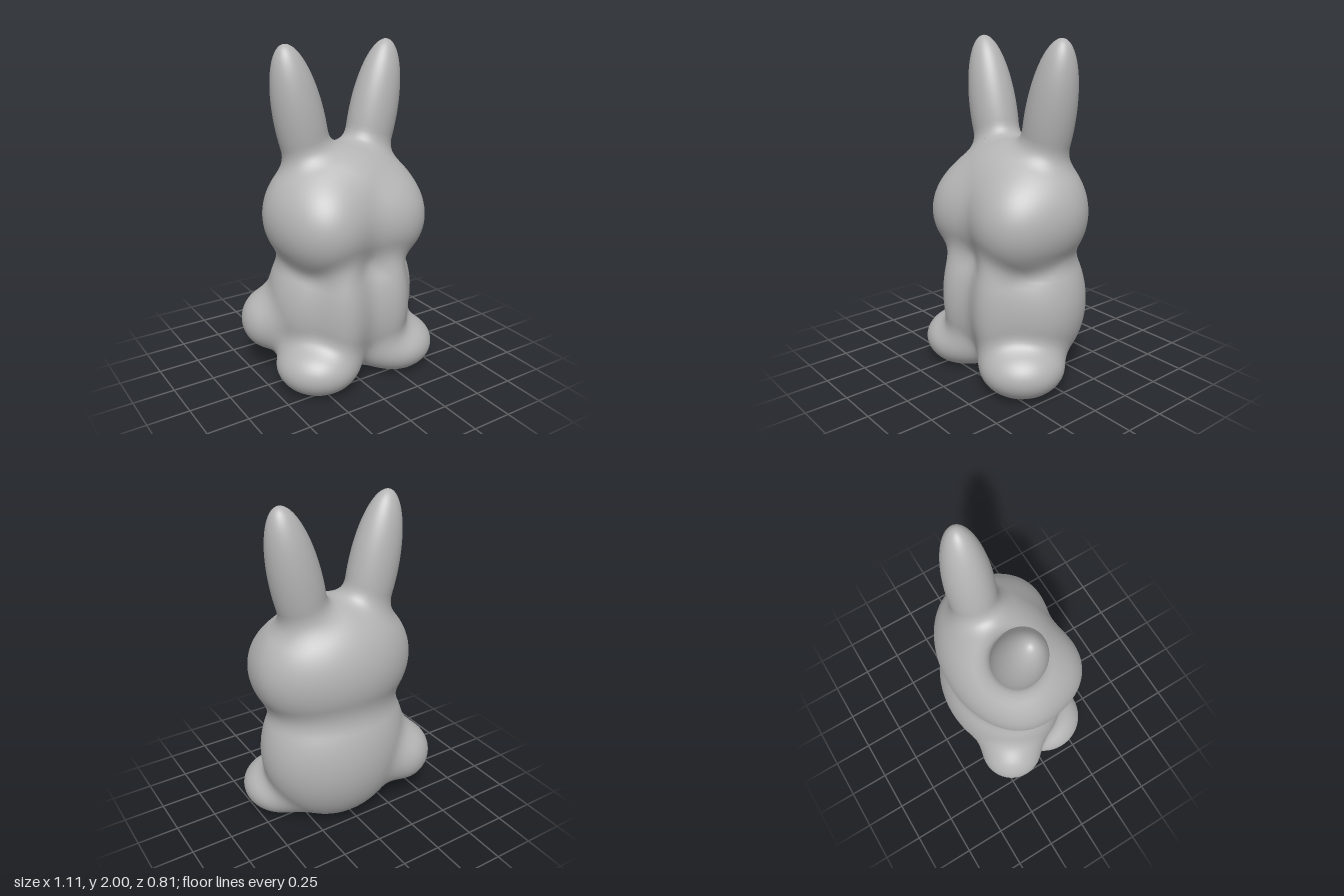
import * as THREE from 'three';

const MIDDLE = 0.033; // the figure's own mirror line
const BLEND = 0.09; // width of the soft fillets between parts
const Z_AXIS = new THREE.Vector3(0, 0, 1);

// Each part is an ellipsoid: name, centre, radii, sideways lean
const parts = [];
const add = (name, centre, radii, lean = 0) =>
  parts.push({ name, centre: new THREE.Vector3(...centre), radii: new THREE.Vector3(...radii), lean });
const pair = (name, [x, y, z], radii, lean = 0) => {
  add('left' + name, [MIDDLE + x, y, z], radii, -lean);
  add('right' + name, [MIDDLE - x, y, z], radii, lean);
};

add('body', [MIDDLE, 0.48, -0.03], [0.47, 0.5, 0.373]);
add('head', [MIDDLE, 1.03, -0.02], [0.493, 0.405, 0.357]);
pair('Cheek', [0.2, 0.99, 0.13], [0.25, 0.27, 0.25]);
pair('Ear', [0.245, 1.55, -0.058], [0.148, 0.459, 0.137], 0.22);
pair('Foreleg', [0.155, 0.49, 0.225], [0.125, 0.37, 0.15]);
pair('Foot', [0.272, 0.15, 0.153], [0.248, 0.17, 0.25]);
add('tail', [-0.36, 0.345, -0.178], [0.195, 0.195, 0.195]);

// Approximate signed distance to one ellipsoid
const q = new THREE.Vector3();
function distance(p, { centre, radii, lean }) {
  q.copy(p).sub(centre).applyAxisAngle(Z_AXIS, -lean).divide(radii);
  const k = q.length();
  return (k * (k - 1)) / Math.max(q.divide(radii).length(), 1e-6);
}

// Soft union of all parts
function field(p) {
  let d = 10;
  for (const part of parts) {
    const e = distance(p, part);
    const h = Math.max(BLEND - Math.abs(d - e), 0) / BLEND;
    d = Math.min(d, e) - h * h * BLEND * 0.25;
  }
  return d;
}

const probe = new THREE.Vector3();
function gradient(p, target) {
  const e = 0.002;
  for (const axis of ['x', 'y', 'z']) {
    probe.copy(p)[axis] += e;
    const ahead = field(probe);
    probe[axis] -= 2 * e;
    target[axis] = (ahead - field(probe)) / (2 * e);
  }
  return target;
}

// A sphere shaped to its part, then eased onto the soft union where it lies near it
function softGeometry(part) {
  const geometry = new THREE.SphereGeometry(1, 72, 52);
  geometry.scale(...part.radii.toArray());
  geometry.rotateZ(part.lean);
  geometry.translate(...part.centre.toArray());
  const { position, normal } = geometry.attributes;
  const p = new THREE.Vector3();
  const n = new THREE.Vector3();
  for (let i = 0; i < position.count; i++) {
    p.fromBufferAttribute(position, i);
    if (field(p) > -0.065) {
      for (let step = 0; step < 5; step++) {
        gradient(p, n);
        p.addScaledVector(n, -field(p) / Math.max(n.lengthSq(), 0.2));
      }
    }
    gradient(p, n).normalize();
    // Flat base to stand on
    if (p.y < 0) {
      p.y = 0;
      n.set(0, -1, 0);
    }
    position.setXYZ(i, p.x, p.y, p.z);
    normal.setXYZ(i, n.x, n.y, n.z);
  }
  return geometry;
}

export function createModel() {
  const group = new THREE.Group();
  group.name = 'rabbitFigure';
  const grey = new THREE.MeshStandardMaterial({ color: 0xb4b4b4 });
  grey.name = 'plain grey';
  for (const part of parts) {
    const mesh = new THREE.Mesh(softGeometry(part), grey);
    mesh.name = part.name;
    group.add(mesh);
  }
  return group;
}
